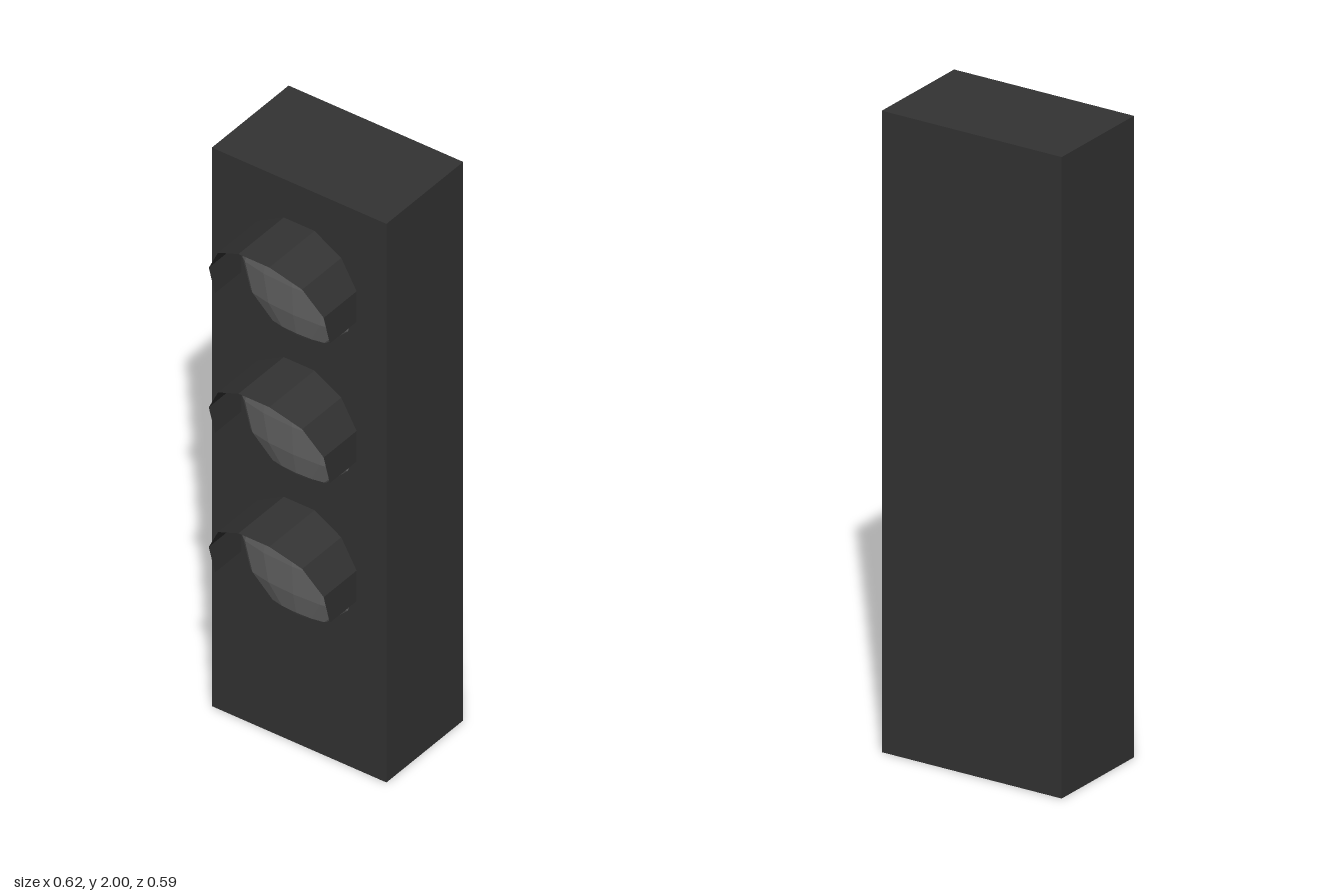
import * as THREE from 'three';

const housingGrey = new THREE.MeshStandardMaterial({ color: 0x333333, flatShading: true, side: THREE.DoubleSide });
housingGrey.name = 'housing grey';
const lensGrey = new THREE.MeshStandardMaterial({ color: 0x666666, flatShading: true });
lensGrey.name = 'lens grey';

const FRONT = 0.075; // front face of the housing

// Open hood: eight points of a twelve-sided tube, cut back towards the bottom
function visorGeometry() {
  const radius = 0.2125, pos = [], index = [];
  for (let i = 0; i < 8; i++) {
    const a = THREE.MathUtils.degToRad(-105 + i * 30);
    const x = radius * Math.sin(a), y = radius * Math.cos(a);
    const lip = 0.295 - 0.03 * (Math.abs(i - 3.5) - 0.5);
    pos.push(x, y, FRONT, x, y, lip);
    if (i < 7) {
      const k = i * 2;
      index.push(k, k + 1, k + 3, k, k + 3, k + 2);
    }
  }
  const g = new THREE.BufferGeometry();
  g.setAttribute('position', new THREE.Float32BufferAttribute(pos, 3));
  g.setIndex(index);
  g.computeVertexNormals();
  return g;
}

export function createModel() {
  const model = new THREE.Group();
  model.name = 'signalLight';

  const add = (parent, name, geometry, material, x, y, z) => {
    const mesh = new THREE.Mesh(geometry, material);
    mesh.name = name;
    mesh.position.set(x, y, z);
    parent.add(mesh);
    return mesh;
  };

  // Housing box
  add(model, 'housing', new THREE.BoxGeometry(0.624, 2, 0.373), housingGrey, 0, 1, FRONT - 0.1865);

  // Three lamps, each a shallow faceted dome under a hood
  const visor = visorGeometry();
  const dome = new THREE.SphereGeometry(1, 12, 6).scale(0.212, 0.205, 0.042);
  ['top', 'middle', 'bottom'].forEach((place, i) => {
    const lamp = new THREE.Group();
    lamp.name = place + 'Lamp';
    lamp.position.y = 1.657 - i * 0.5;
    add(lamp, 'lens', dome, lensGrey, 0, 0, 0.068);
    add(lamp, 'visor', visor, housingGrey, 0, 0, 0);
    model.add(lamp);
  });

  return model;
}
